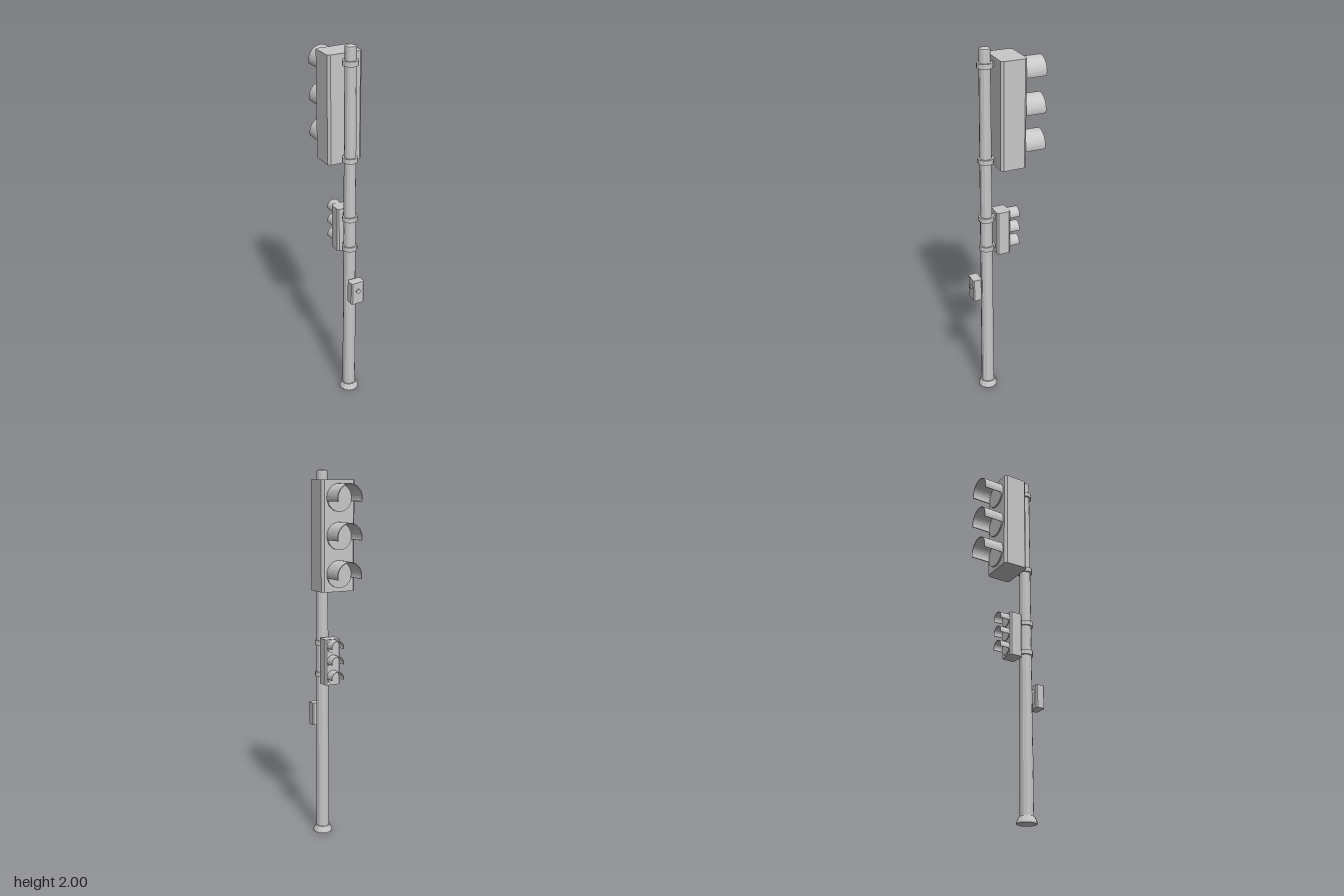
import * as THREE from 'three';

const SIDES = 12;
const POLE_Z = 0.1;

export function createModel() {
  const model = new THREE.Group();
  model.name = 'trafficLight';
  const grey = new THREE.MeshStandardMaterial({ color: 0xc8c8c8, flatShading: true });
  grey.name = 'plainGrey';

  const add = (parent, name, geometry, x = 0, y = 0, z = 0) => {
    const mesh = new THREE.Mesh(geometry, grey);
    mesh.name = name;
    mesh.position.set(x, y, z);
    parent.add(mesh);
    return mesh;
  };

  // Upright box with chamfered vertical edges, standing on its y position
  const chamferBox = (w, h, d, c) => {
    const x = w / 2, z = d / 2;
    const outline = [[-x + c, -z], [x - c, -z], [x, -z + c], [x, z - c],
      [x - c, z], [-x + c, z], [-x, z - c], [-x, -z + c]];
    const shape = new THREE.Shape(outline.map(p => new THREE.Vector2(...p)));
    return new THREE.ExtrudeGeometry(shape, { depth: h, bevelEnabled: false }).rotateX(-Math.PI / 2);
  };

  // Open-bottomed hood: an arc a little over half a ring, pushed backwards
  const hood = (r, depth) => {
    const shape = new THREE.Shape();
    const start = -Math.PI / 12, end = Math.PI - start, inner = r * 0.94;
    shape.absarc(0, 0, r, start, end, false);
    shape.absarc(0, 0, inner, end, start, true);
    return new THREE.ExtrudeGeometry(shape, { depth, bevelEnabled: false, curveSegments: 10 })
      .translate(0, 0, -depth);
  };

  // Signal head: housing with three lenses and hoods facing -z
  const signalHead = (name, s) => {
    const group = new THREE.Group();
    group.name = name;
    const depth = s.front - s.back;
    add(group, 'housing', chamferBox(s.width, s.top - s.bottom, depth, s.chamfer),
      0, s.bottom, (s.front + s.back) / 2);
    s.lamps.forEach(y => {
      add(group, 'lens', new THREE.CylinderGeometry(s.radius, s.radius, s.lens * 2, 20)
        .rotateX(Math.PI / 2), 0, y, s.back);
      add(group, 'hood', hood(s.radius, s.hood), 0, y, s.back);
    });
    model.add(group);
  };

  // Tapered pole with flared foot and shallow conical cap
  const profile = [[0, 0], [0.053, 0], [0.053, 0.008], [0.042, 0.036], [0.036, 0.036],
    [0.029, 1.985], [0.028, 1.992], [0, 2]];
  add(model, 'pole', new THREE.LatheGeometry(profile.map(p => new THREE.Vector2(...p)), SIDES),
    0, 0, POLE_Z);

  signalHead('vehicleSignal', {
    width: 0.192, bottom: 1.377, top: 1.945, front: 0.053, back: -0.086, chamfer: 0.013,
    radius: 0.071, lens: 0.008, hood: 0.116, lamps: [1.855, 1.662, 1.468],
  });
  signalHead('smallSignal', {
    width: 0.088, bottom: 0.87, top: 1.117, front: 0.053, back: -0.021, chamfer: 0.008,
    radius: 0.036, lens: 0.005, hood: 0.056, lamps: [1.08, 0.997, 0.914],
  });

  // Clamps around the pole, each with an arm to the housing
  [1.91, 1.412, 1.082, 0.91].forEach(y => {
    const clamp = new THREE.Group();
    clamp.name = 'clamp';
    add(clamp, 'band', new THREE.CylinderGeometry(0.041, 0.041, 0.026, SIDES), 0, y, POLE_Z);
    add(clamp, 'arm', new THREE.BoxGeometry(0.024, 0.022, 0.03), 0, y, 0.06);
    model.add(clamp);
  });

  // Push-button box on the front of the pole
  const buttonBox = new THREE.Group();
  buttonBox.name = 'buttonBox';
  add(buttonBox, 'case', chamferBox(0.076, 0.127, 0.05, 0.006), 0, 0.608, 0.168);
  add(buttonBox, 'mount', new THREE.BoxGeometry(0.024, 0.08, 0.03), 0, 0.672, 0.135);
  add(buttonBox, 'button', new THREE.CylinderGeometry(0.013, 0.013, 0.014, SIDES)
    .rotateX(Math.PI / 2), 0, 0.684, 0.193);
  model.add(buttonBox);

  return model;
}
